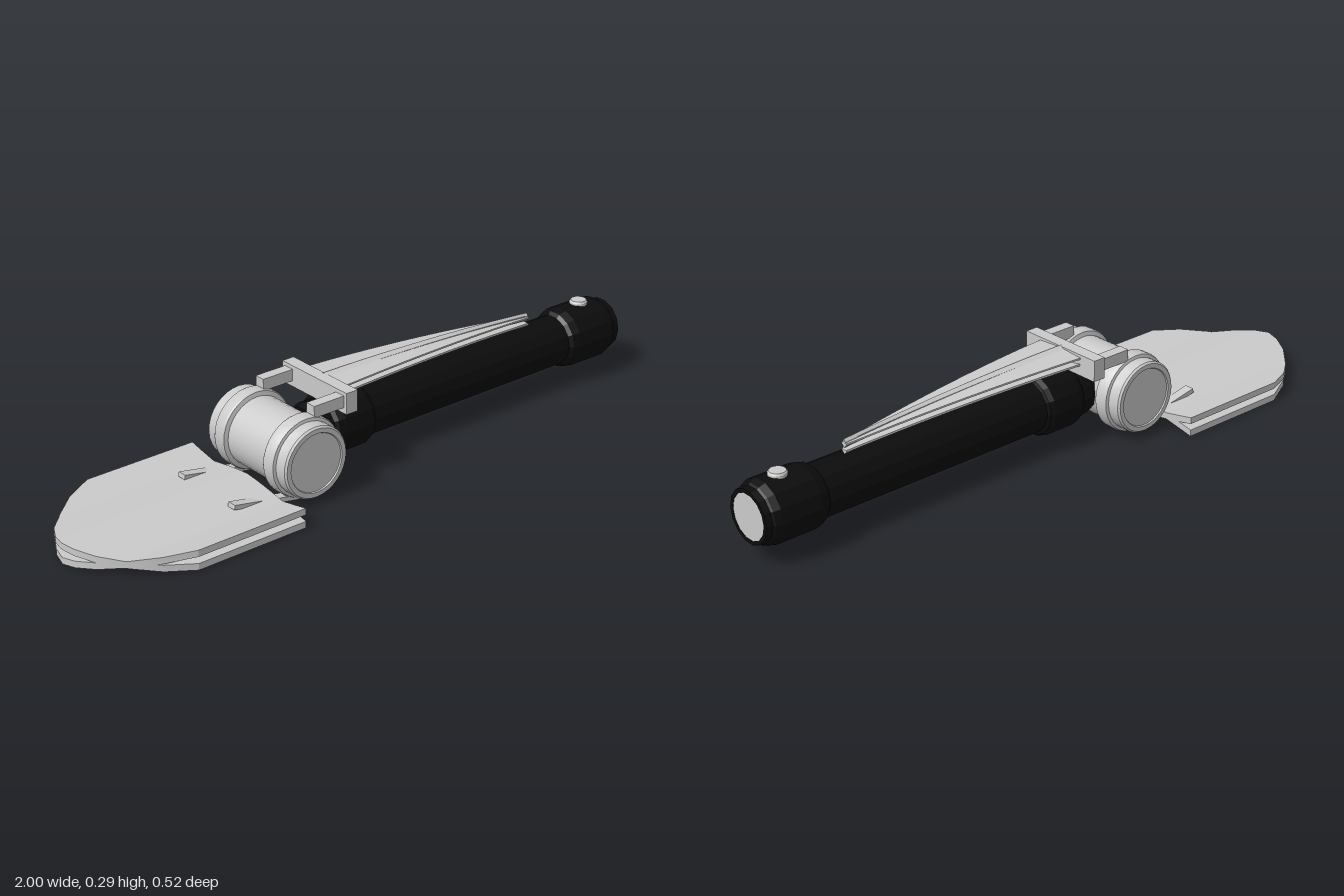
import * as THREE from 'three';
import { toCreasedNormals } from 'three/addons/utils/BufferGeometryUtils.js';

const steel = new THREE.MeshStandardMaterial({ color: 0xcccccc });
const black = new THREE.MeshStandardMaterial({ color: 0x0c0c0c, flatShading: true });

// Closed sheet lofted along x: each station is [x, halfWidth]; top and bottom give y from (z, x, halfWidth)
function sheet(stations, top, bottom, n = 8) {
  const pos = [], idx = [], m = 2 * (n + 1);
  for (const [x, w] of stations) {
    for (let i = 0; i <= n; i++) { const z = w * (2 * i / n - 1); pos.push(x, top(z, x, w), z); }
    for (let i = n; i >= 0; i--) { const z = w * (2 * i / n - 1); pos.push(x, bottom(z, x, w), z); }
  }
  const quad = (a, b, c, d) => idx.push(a, b, c, a, c, d);
  for (let s = 0; s < stations.length - 1; s++)
    for (let i = 0; i < m; i++) {
      const j = (i + 1) % m, p = s * m, q = p + m;
      quad(p + i, p + j, q + j, q + i);
    }
  const e = (stations.length - 1) * m;
  for (let i = 0; i < n; i++) {
    const k = m - 1 - i;
    quad(e + i, e + i + 1, e + k - 1, e + k);
    quad(k, k - 1, i + 1, i);
  }
  const g = new THREE.BufferGeometry();
  g.setAttribute('position', new THREE.Float32BufferAttribute(pos, 3));
  g.setIndex(idx);
  return toCreasedNormals(g, 0.3);
}

// Turned part from [radius, position] pairs, creased edges
function turned(profile, sides, crease = 0.5) {
  const g = new THREE.LatheGeometry(profile.map(([r, h]) => new THREE.Vector2(r, h)), sides);
  return toCreasedNormals(g, crease);
}

export function createModel() {
  const model = new THREE.Group();
  const add = (name, geometry, material, x = 0, y = 0, z = 0) => {
    const mesh = new THREE.Mesh(geometry, material);
    mesh.name = name;
    mesh.position.set(x, y, z);
    model.add(mesh);
    return mesh;
  };

  // Spade blade: a dished sheet and an arched sheet crossing near the edges
  const outline = [[-1, 0.004], [-0.99, 0.045], [-0.96, 0.1], [-0.9, 0.165], [-0.83, 0.22], [-0.745, 0.26], [-0.385, 0.26]];
  const dish = z => 0.042 * Math.pow(Math.abs(z) / 0.26, 1.3);
  add('bladeDish', sheet(outline, z => 0.02 + dish(z), z => dish(z), 12), steel);
  add('bladeArch', sheet(outline, z => 0.064 - dish(z), z => 0.044 - dish(z), 12), steel);

  // Hinge barrel lying across the tool, with raised bands and end caps
  const half = [[0.105, 0], [0.105, 0.087], [0.118, 0.09], [0.121, 0.095], [0.121, 0.127], [0.118, 0.133],
    [0.109, 0.135], [0.109, 0.172], [0.104, 0.178], [0.09, 0.178], [0.088, 0.174], [0, 0.174]];
  const mirrored = half.slice(1).reverse().map(([r, h]) => [r, -h]);
  add('hingeBarrel', turned([...mirrored, ...half], 32), steel, -0.28, 0.132).rotation.x = Math.PI / 2;

  for (const s of [-1, 1]) {
    // Sloping straps between the barrel and the blade
    add('bladeStrap', new THREE.BoxGeometry(0.24, 0.014, 0.03), steel, -0.41, 0.036, s * 0.115).rotation.z = -0.19;
    // Straps between the barrel and the crossbar
    add('pickStrap', new THREE.BoxGeometry(0.12, 0.036, 0.034), steel, -0.19, 0.26, s * 0.114);
  }

  // Crossbar carrying the pick
  add('crossbar', new THREE.BoxGeometry(0.04, 0.065, 0.286), steel, -0.125, 0.257);

  // Folded pick: two tapering keeled layers and a rib on top
  const L = 0.79, taper = [];
  for (let i = 0; i <= 10; i++) {
    const t = i / 10;
    taper.push([-0.11 + L * t, 0.085 - 0.075 * Math.pow(t, 1.1)]);
  }
  const drop = x => 0.036 * Math.pow((x + 0.11) / L, 2);
  const keel = (z, w) => 1 - Math.abs(z) / w;
  add('pickUpper', sheet(taper, (z, x, w) => 0.28 - drop(x) + 0.006 * keel(z, w) * w / 0.085,
    (z, x, w) => 0.275 - drop(x) - 0.022 * keel(z, w) * (0.3 + 0.7 * w / 0.085)), steel);
  add('pickLower', sheet(taper, (z, x, w) => 0.261 - drop(x) - 0.016 * keel(z, w) * w / 0.085,
    (z, x, w) => 0.255 - drop(x) - 0.03 * keel(z, w) * (0.2 + 0.8 * w / 0.085)), steel);
  const rib = taper.map(([x, w]) => [x, 0.003 + 0.18 * w]);
  add('pickRib', sheet(rib, (z, x, w) => 0.284 - drop(x) + 0.008 * keel(z, w), (z, x) => 0.268 - drop(x), 4), steel);

  // Handle tube with a collar at each end
  const grip = [[0, -0.19], [0.07, -0.19], [0.078, -0.165], [0.078, -0.13], [0.09, -0.12], [0.095, -0.1], [0.095, -0.005],
    [0.088, 0.01], [0.078, 0.014], [0.078, 0.79], [0.088, 0.8], [0.095, 0.825], [0.095, 0.955], [0.088, 0.975],
    [0.082, 0.98], [0.08, 1], [0.068, 1], [0.068, 0.99], [0, 0.99]];
  add('handle', turned(grip, 14, 0.1), black, 0, 0.136).rotation.z = -Math.PI / 2;

  // Grey end cap and button on the rear collar
  const cap = add('endCap', new THREE.CylinderGeometry(0.068, 0.068, 0.012, 14), steel, 0.993, 0.136);
  cap.rotation.z = -Math.PI / 2;
  add('button', turned([[0.028, -0.02], [0.028, 0.01], [0.024, 0.016], [0, 0.018]], 16), steel, 0.9, 0.224);

  return model;
}
